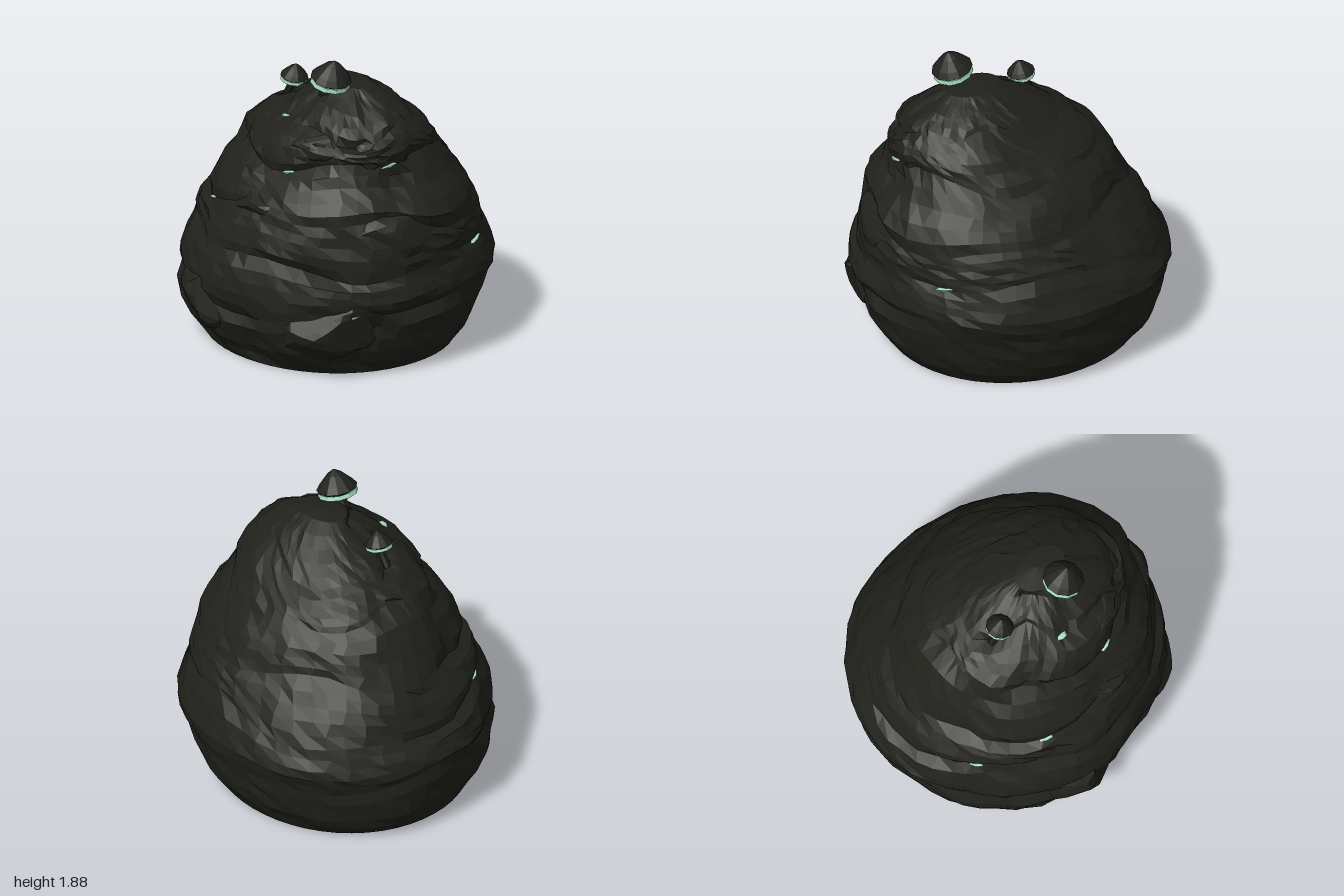
import * as THREE from 'three';

const rock = new THREE.MeshStandardMaterial({ color: 0x21211c, flatShading: true });
const green = new THREE.MeshStandardMaterial({ color: 0x9ed8b8, flatShading: true, side: THREE.DoubleSide });

// Outline of the mound by height: y, xMin, xMax, zMin, zMax
const outline = [
  [0, -0.8, 0.75, -0.72, 0.73],
  [0.06, -0.87, 0.81, -0.77, 0.8],
  [0.14, -0.93, 0.86, -0.82, 0.86],
  [0.33, -0.97, 0.93, -0.89, 0.95],
  [0.52, -1.0, 0.99, -0.95, 0.94],
  [0.7, -0.92, 0.95, -0.89, 0.91],
  [0.9, -0.82, 0.94, -0.78, 0.83],
  [1.03, -0.73, 0.94, -0.7, 0.79],
  [1.2, -0.65, 0.79, -0.6, 0.67],
  [1.33, -0.57, 0.76, -0.49, 0.61],
  [1.45, -0.4, 0.74, -0.37, 0.56],
  [1.55, -0.24, 0.65, -0.26, 0.43],
  [1.64, -0.08, 0.51, -0.15, 0.31],
  [1.7, 0.04, 0.39, -0.04, 0.2],
];

function section(y) {
  let k = 0;
  while (k < outline.length - 2 && outline[k + 1][0] < y) k++;
  const a = outline[k], b = outline[k + 1];
  const t = THREE.MathUtils.clamp((y - a[0]) / (b[0] - a[0]), 0, 1);
  return a.map((v, i) => v + (b[i] - v) * t);
}

// Point on the mound at an angle and height, pushed out by d
function surfacePoint(angle, y, d = 0) {
  const [, x0, x1, z0, z1] = section(y);
  const c = Math.cos(angle), s = Math.sin(angle);
  const k = Math.pow(Math.abs(c) ** 2.06 + Math.abs(s) ** 2.06, -1 / 2.06);
  return new THREE.Vector3(
    (x0 + x1) / 2 + c * k * ((x1 - x0) / 2 + d), y,
    (z0 + z1) / 2 + s * k * ((z1 - z0) / 2 + d));
}

function hash(a, b, c = 0) {
  const v = Math.sin(a * 127.1 + b * 311.7 + c * 74.7) * 43758.5453;
  return v - Math.floor(v);
}

// Heights of the wavy seams between the rock layers
const seams = [0, 0.42, 0.72, 0.97, 1.3, 1.5, 1.7];
function seamY(k, a) {
  if (k === 0 || k === seams.length - 1) return seams[k];
  return seams[k] + 0.05 * Math.sin(a * 2 + k * 1.9) + 0.03 * Math.sin(a * 5 + k * 4.1);
}

// Depth of the rock at an angle and height, t running from seam to seam in layer k
function relief(a, y, k, t) {
  const front = 0.35 + 0.65 * THREE.MathUtils.smoothstep(Math.sin(a), -0.6, 0.4);
  const crease = (1 - Math.pow(Math.sin(Math.PI * t), 0.5)) * (0.65 + 0.35 * Math.sin(a * 3 + k * 2.3));
  const cleft = Math.pow(Math.abs(Math.sin(a * 2.5 + k * 1.3 + t * 0.5)), 10);
  const hollow = Math.exp(-(((a - 1.35) / 0.18) ** 2)) * (1 - THREE.MathUtils.smoothstep(y, 0.25, 0.5));
  const flat = Math.max(0, Math.cos(a - 2.56)) ** 4;
  return front * (-0.055 * crease - 0.03 * cleft) - 0.06 * hollow - 0.035 * flat;
}

function buildMound() {
  const perLayer = 5, seg = 50, pos = [], index = [];
  let rows = 0;
  for (let k = 0; k < seams.length - 1; k++) {
    const top = k === seams.length - 2;
    for (let r = 0; r < perLayer + (top ? 1 : 0); r++, rows++) {
      const t = r / perLayer, edge = rows === 0 || t === 1;
      for (let j = 0; j < seg; j++) {
        const a = (j + (edge ? 0 : (hash(j, rows) - 0.5) * 0.45)) / seg * Math.PI * 2;
        const y = THREE.MathUtils.lerp(seamY(k, a), seamY(k + 1, a), t);
        const d = edge ? 0 : relief(a, y, k, t) + (hash(j, rows, 5) - 0.5) * 0.018;
        pos.push(...surfacePoint(a, y, d).toArray());
      }
    }
  }
  for (let i = 0; i < rows - 1; i++) {
    for (let j = 0; j < seg; j++) {
      const a = i * seg + j, b = i * seg + (j + 1) % seg;
      index.push(a, a + seg, b + seg, a, b + seg, b);
    }
  }
  const bottom = rows * seg, peak = bottom + 1, last = bottom - seg;
  pos.push(0, 0, 0, 0.2, 1.72, 0.06);
  for (let j = 0; j < seg; j++) {
    const n = (j + 1) % seg;
    index.push(bottom, j, n, peak, last + n, last + j);
  }
  const g = new THREE.BufferGeometry();
  g.setAttribute('position', new THREE.Float32BufferAttribute(pos, 3));
  g.setIndex(index);
  g.computeVertexNormals();
  return g;
}

// Faceted boulder: a sphere cut flat by scattered planes
function boulder(seed, size) {
  const g = new THREE.IcosahedronGeometry(1, 5), p = g.attributes.position;
  const v = new THREE.Vector3(), planes = [];
  for (let i = 0; i < 16; i++) {
    const h = 1 - (2 * i + 1) / 16, a = i * 2.4 + seed, r = Math.sqrt(1 - h * h);
    planes.push([new THREE.Vector3(Math.cos(a) * r, h, Math.sin(a) * r), 0.8 + 0.14 * hash(i, seed)]);
  }
  for (let i = 0; i < p.count; i++) {
    v.fromBufferAttribute(p, i);
    for (const [n, limit] of planes) v.addScaledVector(n, -Math.max(0, v.dot(n) - limit));
    v.multiply(size);
    p.setXYZ(i, v.x, v.y, v.z);
  }
  g.computeVertexNormals();
  return g;
}

function mushroom(name, x, y, z, scale, tilt) {
  const group = new THREE.Group();
  group.name = name;
  const lathe = (pts, n) => new THREE.LatheGeometry(pts.map(q => new THREE.Vector2(...q)), n);
  const add = (geometry, material, part) => {
    const m = new THREE.Mesh(geometry, material);
    m.name = part;
    group.add(m);
  };
  add(lathe([[0, 0], [0.11, -0.005], [0.127, 0.008], [0.1, 0.045], [0.05, 0.098], [0, 0.132]], 11), rock, 'cap');
  add(lathe([[0, -0.04], [0.08, -0.052], [0.124, -0.03], [0.116, -0.004]], 11), green, 'gills');
  const stem = new THREE.CatmullRomCurve3([
    new THREE.Vector3(-0.06, -0.22, 0), new THREE.Vector3(-0.02, -0.11, 0), new THREE.Vector3(0, -0.03, 0)]);
  add(new THREE.TubeGeometry(stem, 5, 0.04, 7), rock, 'stem');
  group.position.set(x, y, z);
  group.rotation.z = tilt;
  group.scale.setScalar(scale);
  return group;
}

export function createModel() {
  const model = new THREE.Group();
  model.name = 'mossyMound';
  const add = (geometry, material, name) => {
    const m = new THREE.Mesh(geometry, material);
    m.name = name;
    model.add(m);
    return m;
  };
  add(buildMound(), rock, 'mound');

  // Boulders bulging from the front and sides: name, centre, radii, roll
  const boulders = [
    ['brow', 0.24, 1.38, 0.35, 0.32, 0.12, 0.23, 0.08],
    ['frontShelf', 0.12, 1.0, 0.53, 0.4, 0.14, 0.27, 0.05],
    ['leftShoulder', 0.66, 0.87, 0.14, 0.29, 0.25, 0.38, 0.1],
    ['leftCrag', 0.55, 1.37, 0.13, 0.2, 0.15, 0.25, -0.4],
    ['leftFoot', 0.46, 0.36, 0.44, 0.39, 0.31, 0.38, 0.2],
    ['rightFoot', -0.18, 0.38, 0.5, 0.4, 0.33, 0.47, 0.15],
    ['rightBrow', -0.16, 1.32, 0.28, 0.22, 0.13, 0.22, 0.4],
  ];
  boulders.forEach(([name, x, y, z, a, b, c, roll], i) => {
    const m = add(boulder(i * 1.7 + 1, new THREE.Vector3(a, b, c)), rock, name);
    m.position.set(x, y, z);
    m.rotation.z = roll;
  });

  // Thin green growth in the seams: seam, angle, length
  const growth = [[5, 1.9, 0.08], [3, 2.1, 0.1], [4, 0.25, 0.12], [4, 1.3, 0.1],
    [1, 1.8, 0.08], [1, 0.6, 0.08], [2, -0.5, 0.14], [2, 2.6, 0.1]];
  for (const [k, angle, length] of growth) {
    const m = add(new THREE.IcosahedronGeometry(1, 0), green, 'seamGrowth');
    const y = seamY(k, angle);
    m.position.copy(surfacePoint(angle, y, relief(angle, y, k, 0)));
    m.scale.set(length / 2, 0.01, 0.03);
    m.rotation.set(0, Math.PI / 2 - angle, 0.2);
  }

  model.add(mushroom('largeMushroom', 0.25, 1.755, 0.24, 1, -0.25));
  model.add(mushroom('smallMushroom', -0.2, 1.61, 0.14, 0.68, -0.2));
  return model;
}
